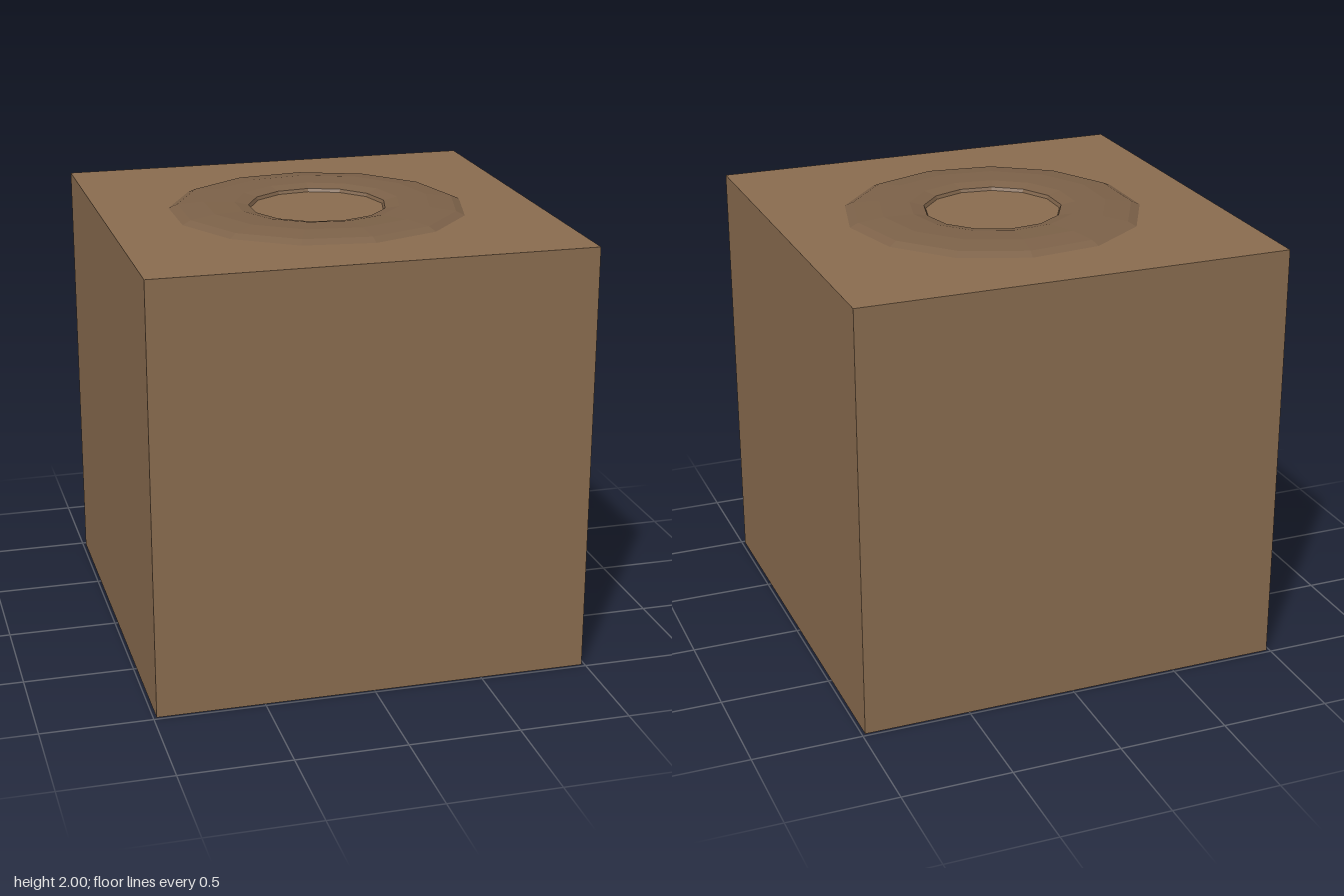
import * as THREE from 'three';

export function createModel() {
  const model = new THREE.Group();
  const size = 1.97;

  // Solid cube body
  const block = new THREE.Mesh(
    new THREE.BoxGeometry(size, size, size),
    new THREE.MeshStandardMaterial({ color: 0x8b6d50 })
  );
  block.name = 'block';
  block.position.y = size / 2;
  model.add(block);

  // Low 13-sided ring standing proud of the top face: outer rim, crown, inner rim
  const profile = [
    [0.69, -0.01], [0.68, 0], [0.64, 0.018], [0.52, 0.03],
    [0.38, 0.027], [0.315, 0.014], [0.307, 0], [0.307, -0.01],
  ].map(([r, y]) => new THREE.Vector2(r, y));
  const ring = new THREE.Mesh(
    new THREE.LatheGeometry(profile, 13, Math.PI / 2),
    new THREE.MeshStandardMaterial({ color: 0x7d6249, flatShading: true })
  );
  ring.name = 'topRing';
  ring.position.y = size;
  model.add(ring);

  return model;
}
